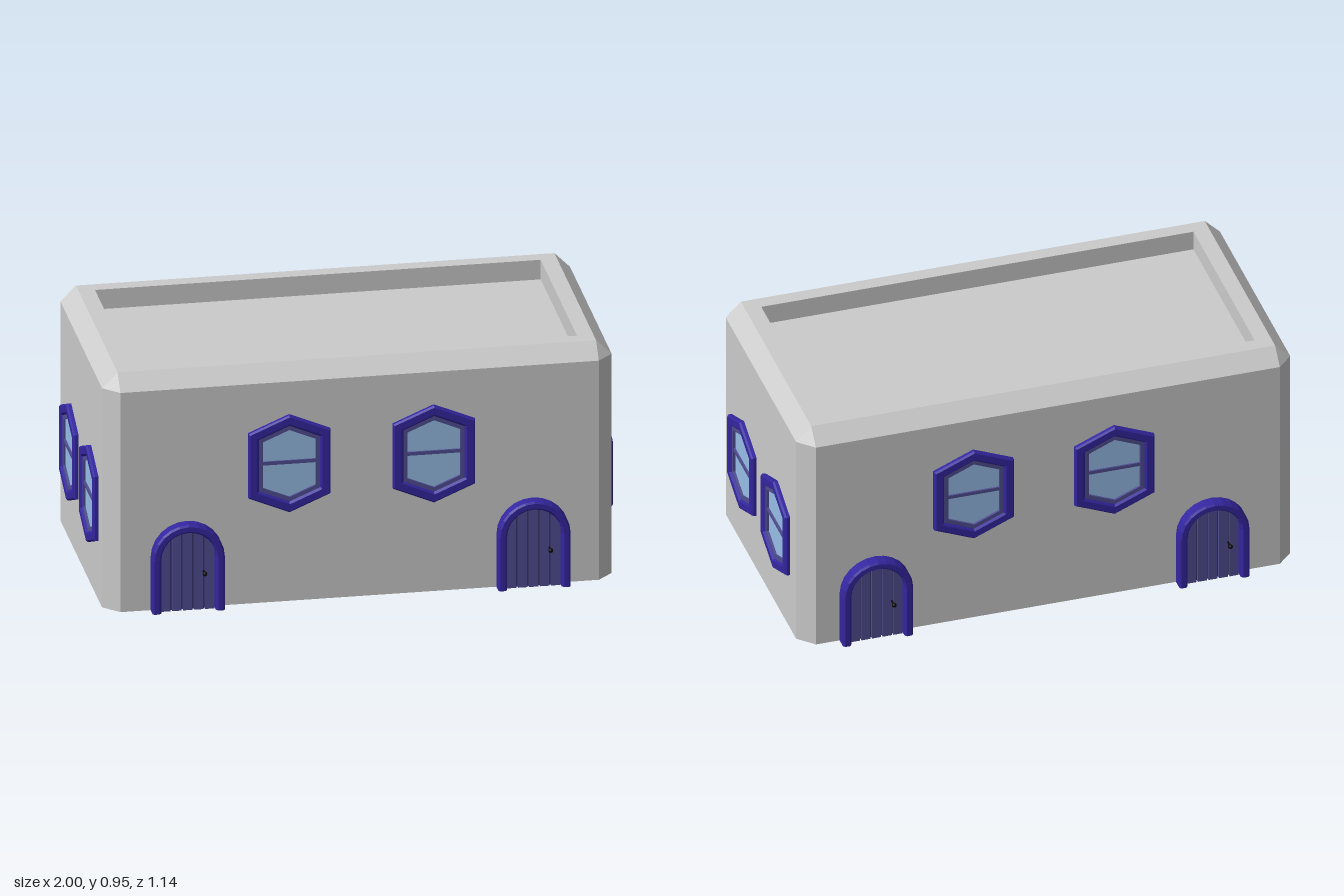
import * as THREE from 'three';

const mat = (color) => new THREE.MeshStandardMaterial({ color });
const mats = {
  wall: mat(0xcccccc), frame: mat(0x3426a0), inner: mat(0x504e92),
  dark: mat(0x221f48), glass: mat(0x97bde8), knob: mat(0x080808),
};

// Flat-faced skin through rings of [x, y, z] points, counter-clockwise around +z
function loft(rings, { closed = true, capStart = false, capEnd = false } = {}) {
  const pos = [];
  const v = (p) => new THREE.Vector3(...p);
  const tri = (a, b, c) => {
    const area = v(b).sub(v(a)).cross(v(c).sub(v(a))).length();
    if (area > 1e-8) pos.push(...a, ...b, ...c);
  };
  const n = rings[0].length;
  for (let i = 0; i < rings.length - 1; i++) {
    for (let j = 0; j < (closed ? n : n - 1); j++) {
      const k = (j + 1) % n;
      tri(rings[i][j], rings[i][k], rings[i + 1][k]);
      tri(rings[i][j], rings[i + 1][k], rings[i + 1][j]);
    }
  }
  const first = rings[0], last = rings[rings.length - 1];
  for (let j = 1; j < n - 1; j++) {
    if (capStart) tri(first[0], first[j + 1], first[j]);
    if (capEnd) tri(last[0], last[j], last[j + 1]);
  }
  const g = new THREE.BufferGeometry();
  g.setAttribute('position', new THREE.Float32BufferAttribute(pos, 3));
  g.computeVertexNormals();
  return g;
}

function add(parent, name, geometry, material, x = 0, y = 0, z = 0) {
  const m = new THREE.Mesh(geometry, material);
  m.name = name;
  m.position.set(x, y, z);
  parent.add(m);
  return m;
}

// Rectangle with cut corners
function cutRect(w, d, c, z) {
  return [[w, -d + c], [w, d - c], [w - c, d], [-w + c, d],
    [-w, d - c], [-w, -d + c], [-w + c, -d], [w - c, -d]].map(([x, y]) => [x, y, z]);
}

// Tall hexagon inset by d
function hexRing(d, z) {
  const x = 0.158 - d, tip = 0.198 - 1.086 * d, y = 0.131 - 0.662 * d;
  return [[x, -y, z], [x, y, z], [0, tip, z], [-x, y, z], [-x, -y, z], [0, -tip, z]];
}

// Round-topped door outline inset by d, open at the ground
const SPRING = 0.216, RADIUS = 0.139;
function archRing(d, z) {
  const r = RADIUS - d, pts = [[r, 0, z]];
  for (let i = 0; i <= 12; i++) {
    const a = (i / 12) * Math.PI;
    pts.push([r * Math.cos(a), SPRING + r * Math.sin(a), z]);
  }
  pts.push([-r, 0, z]);
  return pts;
}

function makeWindow() {
  const g = new THREE.Group();
  g.name = 'window';
  const rings = (profile) => profile.map(([d, z]) => hexRing(d, z));
  add(g, 'windowFrame', loft(rings([[0, -0.01], [0, 0.013], [0.006, 0.02], [0.032, 0.02], [0.04, 0.012]])), mats.frame);
  add(g, 'windowSash', loft(rings([[0.04, 0.012], [0.056, 0.012], [0.056, 0.003]])), mats.inner);
  add(g, 'windowPane', loft([hexRing(0.056, 0.003)], { capEnd: true }), mats.glass);
  add(g, 'windowBar', new THREE.BoxGeometry(0.204, 0.014, 0.007), mats.inner, 0, 0.005, 0.0065);
  return g;
}

function makeDoor() {
  const g = new THREE.Group();
  g.name = 'door';
  const profile = [[0, -0.01], [0, 0.043], [0.007, 0.05], [0.026, 0.05], [0.034, 0.04], [0.034, 0.012]];
  add(g, 'doorFrame', loft(profile.map(([d, z]) => archRing(d, z)), { closed: false }), mats.frame);

  // Underside of both jambs
  const foot = profile.concat([[0.034, -0.01]]);
  for (const s of [-1, 1]) {
    const shape = new THREE.Shape(foot.map(([d, z]) => new THREE.Vector2(s * (RADIUS - d), z)));
    const under = new THREE.ShapeGeometry(shape).rotateX(Math.PI / 2);
    const m = add(g, 'jambFoot', under, mats.frame);
    m.material = mats.frame.clone();
    m.material.side = THREE.DoubleSide;
  }
  add(g, 'doorBacking', loft([archRing(0.034, 0.012)], { capEnd: true }), mats.dark);

  // Five planks cut to the arch
  const r = RADIUS - 0.034, step = (2 * r) / 5;
  for (let i = 0; i < 5; i++) {
    const x0 = -r + i * step + 0.003, x1 = x0 + step - 0.006;
    const shape = new THREE.Shape().moveTo(x0, 0).lineTo(x1, 0);
    for (let k = 0; k <= 4; k++) {
      const x = x1 + ((x0 - x1) * k) / 4;
      shape.lineTo(x, SPRING + Math.sqrt(Math.max(0, r * r - x * x)));
    }
    add(g, 'doorPlank', new THREE.ExtrudeGeometry(shape, { depth: 0.013, bevelEnabled: false }), mats.inner, 0, 0, 0.012);
  }

  // Handle
  add(g, 'knobStem', new THREE.CylinderGeometry(0.004, 0.004, 0.035, 8).rotateX(Math.PI / 2), mats.knob, 0.06, 0.156, 0.04);
  add(g, 'knob', new THREE.SphereGeometry(0.009, 12, 8), mats.knob, 0.06, 0.156, 0.056);
  return g;
}

export function createModel() {
  const model = new THREE.Group();
  model.name = 'building';
  const W = 0.98, D = 0.505;

  // Walls, bevelled parapet and sunken flat roof
  const body = loft([
    cutRect(W, D, 0.06, 0), cutRect(W, D, 0.06, 0.895), cutRect(W - 0.06, D - 0.06, 0, 0.955),
    cutRect(0.857, 0.388, 0, 0.955), cutRect(0.857, 0.388, 0, 0.875),
  ], { capStart: true, capEnd: true }).rotateX(-Math.PI / 2);
  add(model, 'walls', body, mats.wall);

  const place = (part, x, y, z, turn) => {
    part.position.set(x, y, z);
    part.rotation.y = turn;
    model.add(part);
  };

  // Front and back openings
  for (const x of [-0.665, 0.665]) place(makeDoor(), x, 0, D, 0);
  for (const x of [-0.647, 0.687]) place(makeDoor(), x, 0, -D, Math.PI);
  for (const x of [-0.272, 0.284]) place(makeWindow(), x, 0.565, D, 0);
  for (const x of [-0.261, 0.297]) place(makeWindow(), x, 0.565, -D, Math.PI);

  // End windows
  for (const s of [-1, 1]) {
    for (const z of [-0.212, 0.212]) place(makeWindow(), s * W, 0.373, z, (s * Math.PI) / 2);
  }
  return model;
}
